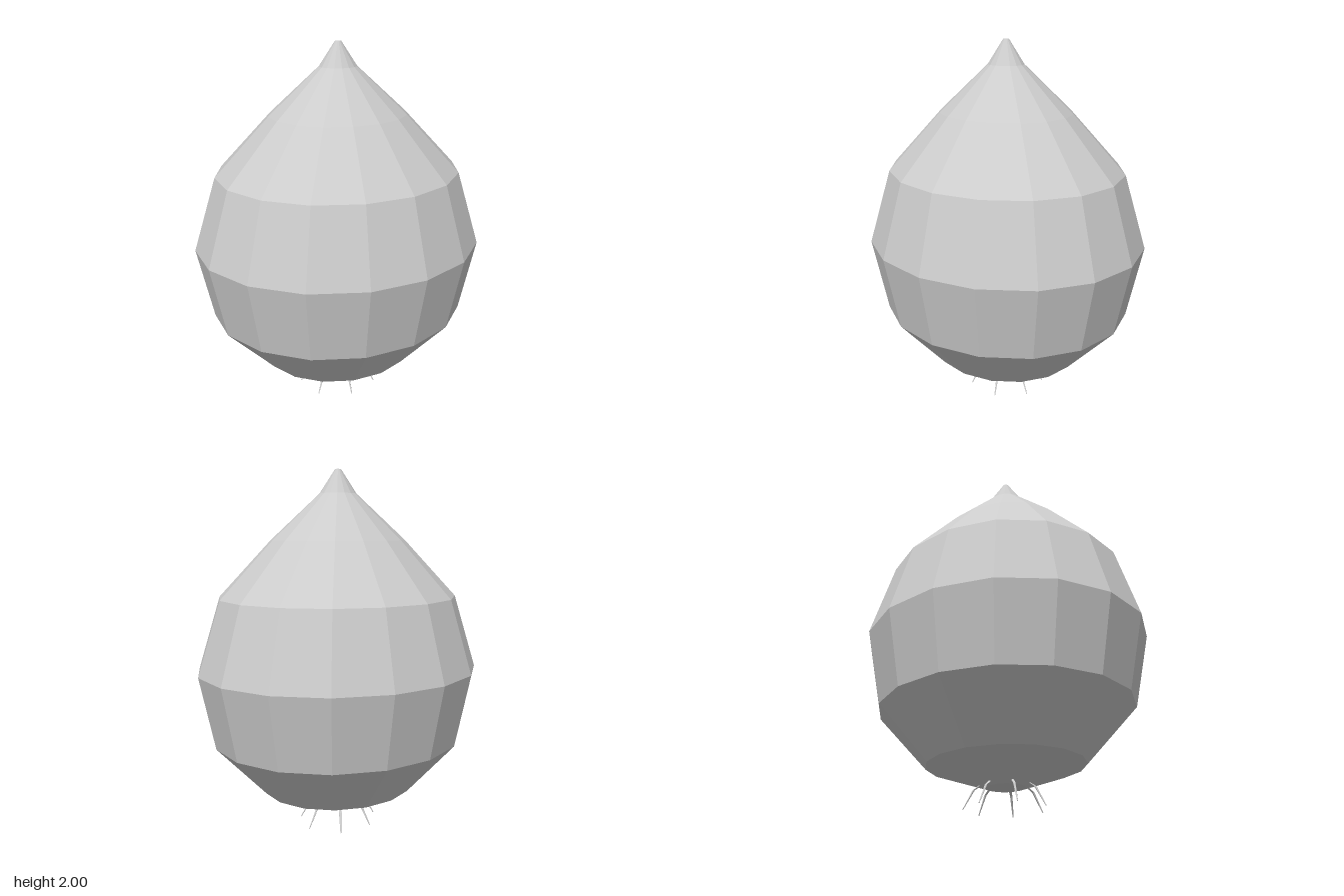
import * as THREE from 'three';

export function createModel() {
  const grey = new THREE.MeshStandardMaterial({ color: 0xcccccc });
  grey.name = 'pale grey';
  grey.flatShading = true;

  const model = new THREE.Group();
  model.name = 'bulb';
  model.scale.z = 0.92; // slightly flattened front to back

  // Faceted bulb: [radius, height] from the base to the pointed tip
  const profile = [
    [0, 0.11], [0.11, 0.11], [0.445, 0.22], [0.725, 0.51], [0.812, 0.91],
    [0.685, 1.31], [0.385, 1.62], [0.105, 1.87], [0.017, 2], [0, 2],
  ].map(([r, y]) => new THREE.Vector2(r, y));
  const body = new THREE.Mesh(new THREE.LatheGeometry(profile, 16), grey);
  body.name = 'bulbBody';
  model.add(body);

  // One bent, tapering root: [distance from axis, height, thickness]
  const sections = [[0.135, 0.125, 0.008], [0.172, 0.1, 0.007], [0.23, 0, 0.003]];
  const rootGeometry = new THREE.CylinderGeometry(1, 1, 2, 6, 2);
  const pos = rootGeometry.attributes.position;
  for (let i = 0; i < pos.count; i++) {
    const [r, y, w] = sections[Math.round(1 - pos.getY(i))];
    pos.setXYZ(i, r + pos.getX(i) * w, y, pos.getZ(i) * w);
  }
  rootGeometry.computeVertexNormals();

  // Ring of roots under the base
  const count = 7;
  for (let i = 0; i < count; i++) {
    const root = new THREE.Mesh(rootGeometry, grey);
    root.name = `root${i + 1}`;
    root.rotation.y = (i / count) * Math.PI * 2;
    model.add(root);
  }
  return model;
}
